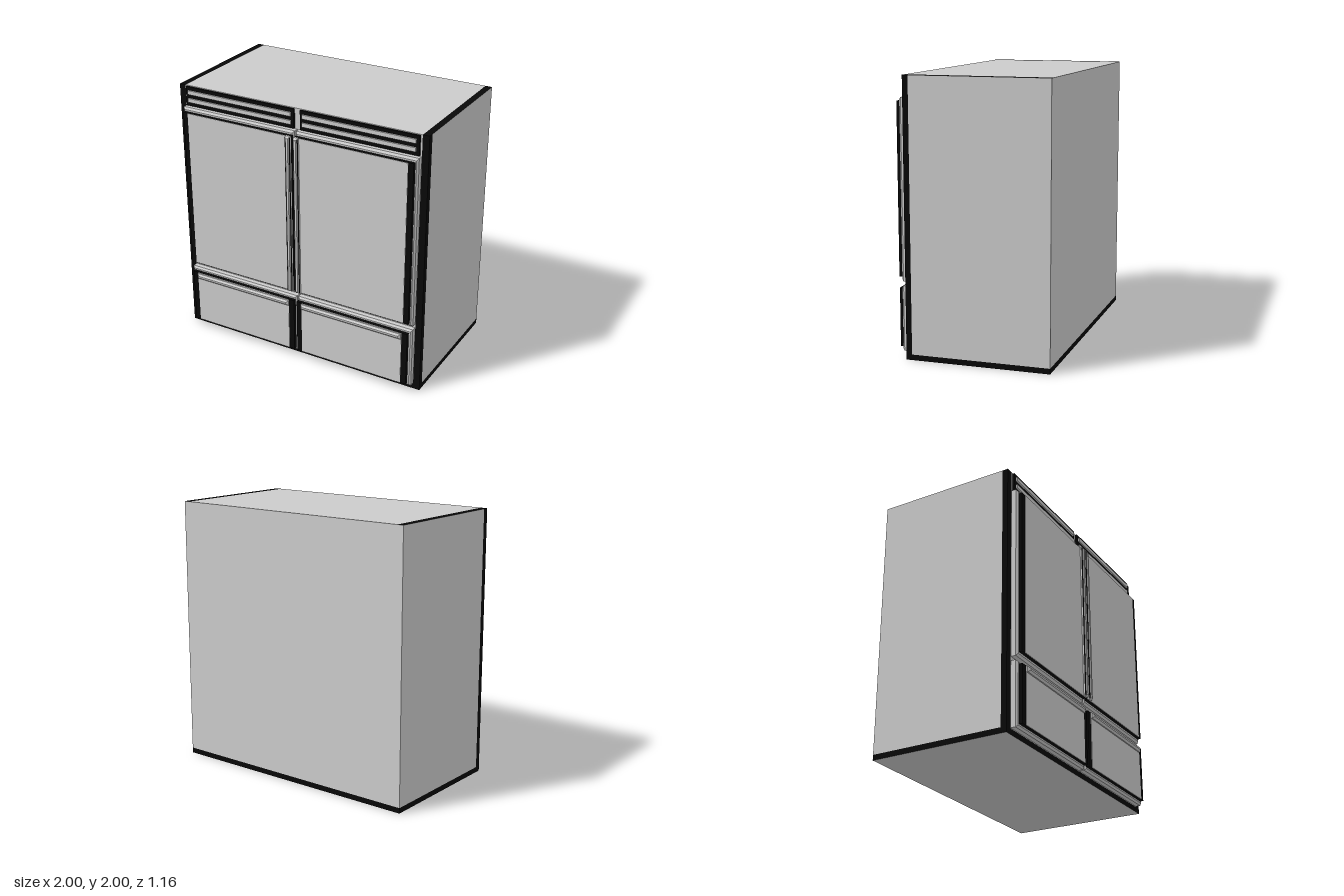
import * as THREE from 'three';

const grey = new THREE.MeshStandardMaterial({ color: 0xcccccc });
const black = new THREE.MeshStandardMaterial({ color: 0x080808 });

// Box given by its extents on each axis
function box(parent, name, [x0, x1], [y0, y1], [z0, z1], material = grey) {
  const mesh = new THREE.Mesh(new THREE.BoxGeometry(x1 - x0, y1 - y0, z1 - z0), material);
  mesh.position.set((x0 + x1) / 2, (y0 + y1) / 2, (z0 + z1) / 2);
  mesh.name = name;
  parent.add(mesh);
  return mesh;
}

// Box whose front edges are chamfered: inset by insetX / insetY over the last `depth`
function chamferBox(parent, name, xs, ys, zs, insetX, insetY, depth, material = grey) {
  const [w, h, d] = [xs, ys, zs].map(([a, b]) => b - a);
  const geometry = new THREE.BoxGeometry(w, h, d, 1, 1, 2).toNonIndexed();
  const p = geometry.attributes.position;
  for (let i = 0; i < p.count; i++) {
    const z = p.getZ(i);
    if (z > d / 4) {
      p.setX(i, p.getX(i) - Math.sign(p.getX(i)) * insetX);
      p.setY(i, p.getY(i) - Math.sign(p.getY(i)) * insetY);
    } else if (z > -d / 4) {
      p.setZ(i, d / 2 - depth);
    }
  }
  geometry.computeVertexNormals();
  const mesh = new THREE.Mesh(geometry, material);
  mesh.position.set((xs[0] + xs[1]) / 2, (ys[0] + ys[1]) / 2, (zs[0] + zs[1]) / 2);
  mesh.name = name;
  parent.add(mesh);
  return mesh;
}

// Extents on the left (s = 1) or mirrored to the right (s = -1)
const side = (s, a, b) => (s > 0 ? [a, b] : [-b, -a]);

export function createModel() {
  const model = new THREE.Group();

  // Cabinet body and dark base
  box(model, 'cabinet', [-0.95, 0.95], [0.04, 2], [-0.58, 0.472]);
  box(model, 'base', [-1, 1], [0, 0.04], [-0.58, 0.472],
    [black, black, black, grey, black, black]);

  for (const s of [1, -1]) {
    const label = s > 0 ? 'left' : 'right';
    const half = new THREE.Group();
    half.name = label + 'Half';
    model.add(half);

    // Side panel with dark top edge, and dark front trim
    box(half, 'sidePanel', side(s, 0.95, 1), [0.04, 2], [-0.58, 0.43],
      [grey, grey, black, grey, grey, grey]);
    box(half, 'frontTrim', side(s, 0.95, 1), [0.04, 2], [0.43, 0.472], black);

    // Ventilation grille with two slats
    const grille = new THREE.Group();
    grille.name = 'grille';
    half.add(grille);
    box(grille, 'grillePanel', side(s, 0.025, 0.937), [1.85, 1.995], [0.472, 0.488], black);
    for (const y of [1.88, 1.94]) {
      box(grille, 'grilleSlat', side(s, 0.045, 0.915), [y, y + 0.03], [0.488, 0.5]);
    }

    // Upper door: chamfered slab, dark backing, front panel
    const door = new THREE.Group();
    door.name = 'door';
    half.add(door);
    chamferBox(door, 'doorSlab', side(s, 0.006, 0.948), [0.55, 1.845], [0.472, 0.522], 0.012, 0.016, 0.014);
    box(door, 'doorBacking', side(s, 0.012, 0.928), [0.58, 1.817], [0.522, 0.547], black);
    box(door, 'doorPanel', side(s, 0.014, 0.888), [0.582, 1.815], [0.547, 0.551]);

    // Vertical door handle with dark edges
    chamferBox(door, 'doorHandle', side(s, 0.012, 0.052), [0.58, 1.82], [0.551, 0.577], 0.012, 0.014, 0.016);
    for (const x of [0.013, 0.047]) {
      box(door, 'handleEdge', side(s, x, x + 0.004), [0.59, 1.81], [0.561, 0.569], black);
    }

    // Lower drawer: chamfered slab, dark backing, front panel
    const drawer = new THREE.Group();
    drawer.name = 'drawer';
    half.add(drawer);
    chamferBox(drawer, 'drawerSlab', side(s, 0.006, 0.948), [0.045, 0.52], [0.472, 0.522], 0.012, 0.014, 0.014);
    box(drawer, 'drawerBacking', side(s, 0.012, 0.924), [0.07, 0.495], [0.522, 0.547], black);
    box(drawer, 'drawerPanel', side(s, 0.055, 0.88), [0.072, 0.493], [0.547, 0.551]);

    // Horizontal drawer handle
    chamferBox(drawer, 'drawerHandle', side(s, 0.052, 0.878), [0.448, 0.49], [0.551, 0.574], 0.018, 0.014, 0.014);
  }

  return model;
}
